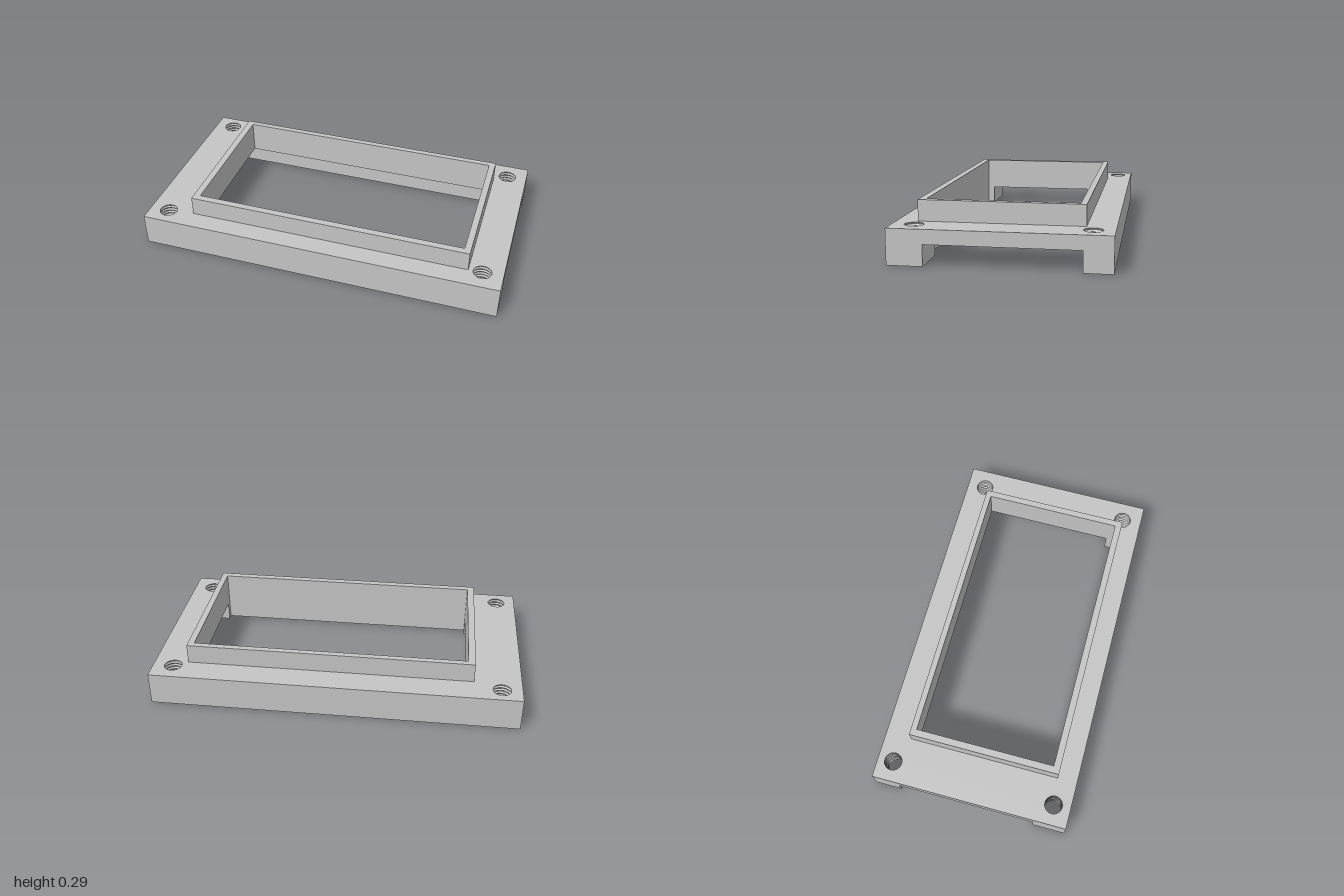
import * as THREE from 'three';
import { toCreasedNormals } from 'three/addons/utils/BufferGeometryUtils.js';

const RAIL_TOP = 0.108, PLATE_TOP = 0.182, RIM_TOP = 0.29;
const BACK_RAIL_EDGE = -0.4;
const THREAD_ROOT = 0.054, THREAD_CREST = 0.048;
const CUT_HOLE = [0.889, -0.439]; // breaks out of the back rail's inner edge
const BACK_HOLE = [-0.892, -0.458];
const FRONT_HOLES = [[-0.892, 0.45], [0.889, 0.434]];
const CUT_ANGLE = Math.acos((BACK_RAIL_EDGE - CUT_HOLE[1]) / THREAD_ROOT);
const CUT_SWEEP = 2 * (Math.PI - CUT_ANGLE);

// Plan points are [x, z]; the shape plane is laid flat with its y along -z.
// Reversed order gives anticlockwise outlines, so holes are wound properly.
const toPlane = (points) => points.map(([x, z]) => new THREE.Vector2(x, -z)).reverse();
const rect = (x0, x1, z0, z1) => [[x0, z0], [x1, z0], [x1, z1], [x0, z1]];
const opening = () => new THREE.Path(toPlane(rect(-0.708, 0.78, -0.368, 0.4)));
const screwHole = ([x, z]) => new THREE.Path().absarc(x, -z, THREAD_ROOT, 0, Math.PI * 2, true);

function layer(name, outline, holes, y0, y1, material) {
  const shape = new THREE.Shape(toPlane(outline));
  shape.holes.push(...holes);
  const geometry = new THREE.ExtrudeGeometry(shape, { depth: y1 - y0, bevelEnabled: false, curveSegments: 16 });
  geometry.rotateX(-Math.PI / 2);
  geometry.translate(0, y0, 0);
  const mesh = new THREE.Mesh(geometry, material);
  mesh.name = name;
  return mesh;
}

// Grooved lining of a screw hole, facing inwards
function thread([x, z], y0, y1, material, start = 0, sweep = Math.PI * 2) {
  const turns = Math.round((y1 - y0) / 0.02), pitch = (y1 - y0) / turns;
  const profile = [new THREE.Vector2(THREAD_ROOT, y1), new THREE.Vector2(THREAD_CREST, y1)];
  for (let i = 1; i <= turns; i++) {
    const y = y1 - i * pitch;
    profile.push(new THREE.Vector2(THREAD_ROOT - 0.0005, y + pitch / 2), new THREE.Vector2(THREAD_CREST, y));
  }
  profile.push(new THREE.Vector2(THREAD_ROOT, y0));
  const geometry = toCreasedNormals(new THREE.LatheGeometry(profile, 32, start, sweep), 0.5);
  const mesh = new THREE.Mesh(geometry, material);
  mesh.name = 'screwThread';
  mesh.position.set(x, 0, z);
  return mesh;
}

export function createModel() {
  const group = new THREE.Group();
  group.name = 'mountingFrame';
  const grey = new THREE.MeshStandardMaterial({ color: 0xc5c5c5 });
  grey.name = 'grey';

  // Back rail, with a bite where one screw hole breaks its inner edge
  const bite = [];
  for (let i = 0; i <= 24; i++) {
    const a = CUT_ANGLE + (CUT_SWEEP * i) / 24;
    bite.push([CUT_HOLE[0] + THREAD_ROOT * Math.sin(a), CUT_HOLE[1] + THREAD_ROOT * Math.cos(a)]);
  }
  group.add(layer('backRail',
    [[-1, -0.545], [1, -0.545], [1, BACK_RAIL_EDGE], ...bite, [-1, BACK_RAIL_EDGE]],
    [screwHole(BACK_HOLE)], 0, RAIL_TOP, grey));

  // Front rail, notched by the opening
  group.add(layer('frontRail', [
    [-1, 0.364], [-0.708, 0.364], [-0.708, 0.4], [0.78, 0.4], [0.78, 0.364],
    [1, 0.364], [1, 0.545], [-1, 0.545],
  ], FRONT_HOLES.map(screwHole), 0, RAIL_TOP, grey));

  // Flat plate and the raised rim round the opening
  const holes = [CUT_HOLE, BACK_HOLE, ...FRONT_HOLES];
  group.add(layer('plate', rect(-1, 1, -0.545, 0.545),
    [opening(), ...holes.map(screwHole)], RAIL_TOP, PLATE_TOP, grey));
  group.add(layer('rim', rect(-0.746, 0.815, -0.4, 0.437), [opening()], PLATE_TOP, RIM_TOP, grey));

  // Threads through the plate and the rails
  holes.forEach((hole) => group.add(thread(hole, RAIL_TOP, PLATE_TOP, grey)));
  [BACK_HOLE, ...FRONT_HOLES].forEach((hole) => group.add(thread(hole, 0, RAIL_TOP, grey)));
  group.add(thread(CUT_HOLE, 0, RAIL_TOP, grey, CUT_ANGLE, CUT_SWEEP));

  return group;
}
